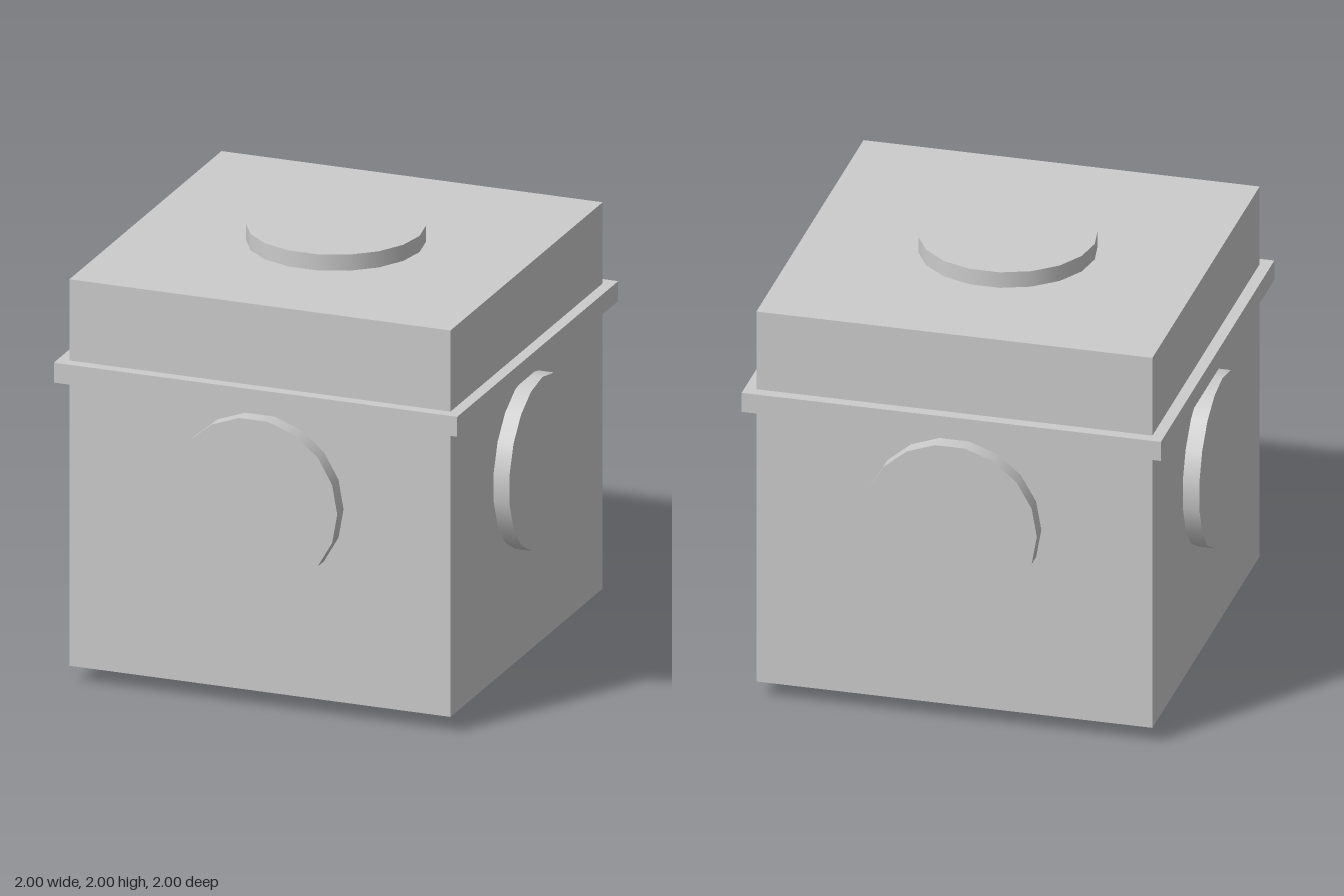
import * as THREE from 'three';

export function createModel() {
  const group = new THREE.Group();
  const material = new THREE.MeshStandardMaterial({ color: 0xcccccc });

  const add = (name, geometry, x, y, z) => {
    const mesh = new THREE.Mesh(geometry, material);
    mesh.name = name;
    mesh.position.set(x, y, z);
    group.add(mesh);
  };

  // Cube body and the lid rim around it
  const half = 0.923;
  add('body', new THREE.BoxGeometry(2 * half, 2 * half, 2 * half), 0, 1, 0);
  add('lidRim', new THREE.BoxGeometry(1.954, 0.095, 1.954), 0, 1.488, 0);

  // One raised 18-sided disc on each face, sunk slightly into the body
  const sink = 0.02;
  const depth = 1 - half + sink;
  const offset = 1 - depth / 2;
  const disc = new THREE.CylinderGeometry(0.405, 0.405, depth, 18).rotateY(Math.PI / 2);
  const discX = disc.clone().rotateZ(Math.PI / 2);
  const discZ = disc.clone().rotateX(Math.PI / 2);

  add('topDisc', disc, 0, 1 + offset, 0);
  add('bottomDisc', disc, 0, 1 - offset, 0);
  add('leftDisc', discX, offset, 1, 0);
  add('rightDisc', discX, -offset, 1, 0);
  add('frontDisc', discZ, 0, 1, offset);
  add('backDisc', discZ, 0, 1, -offset);

  return group;
}
